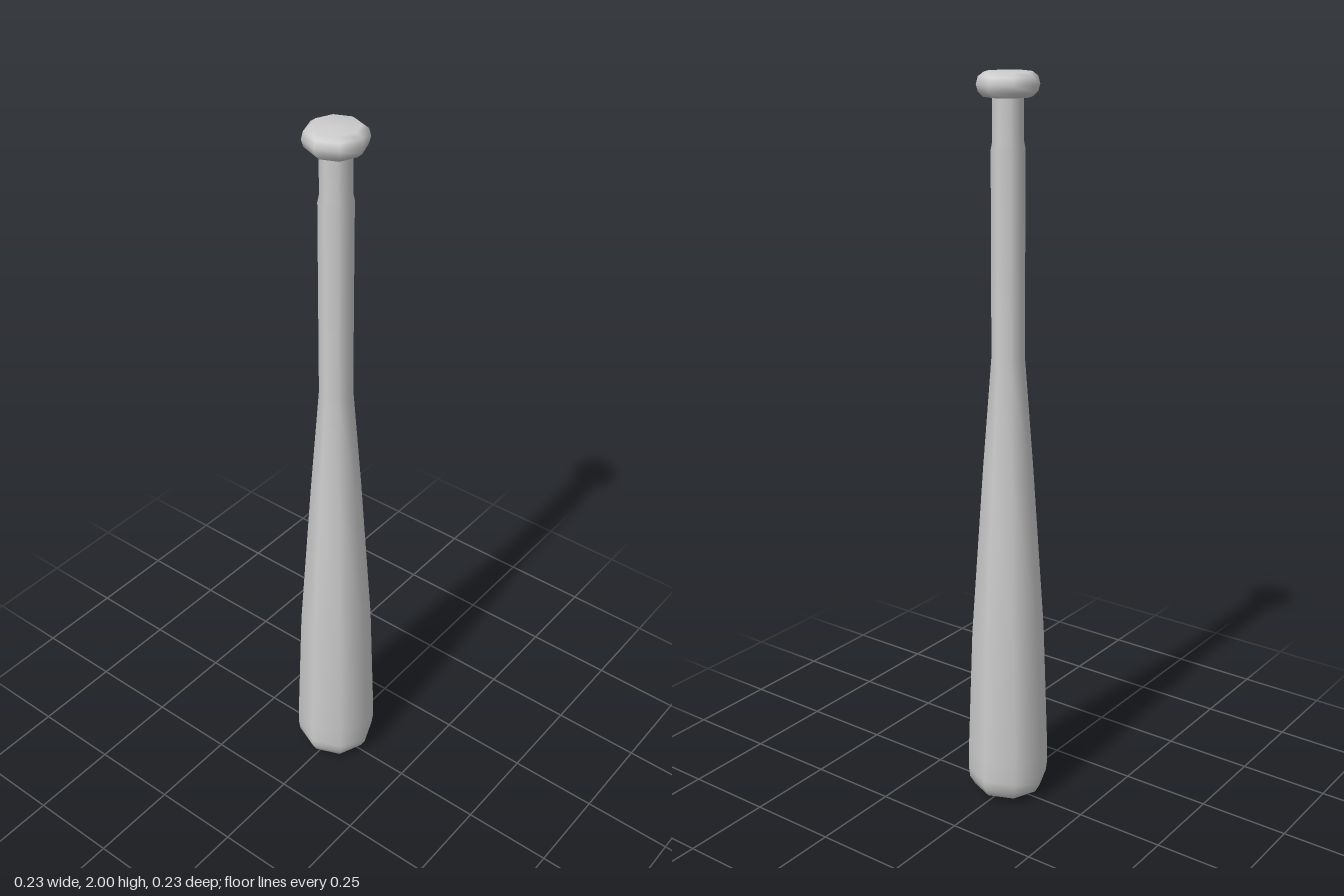
import * as THREE from 'three';

const SIDES = 8;

// Turns a [radius, height] profile, listed bottom to top, around the y axis.
function turned(name, profile, material) {
  const points = profile.map(([r, y]) => new THREE.Vector2(r, y));
  const mesh = new THREE.Mesh(new THREE.LatheGeometry(points, SIDES), material);
  mesh.name = name;
  return mesh;
}

export function createModel() {
  const group = new THREE.Group();
  group.name = 'bat';
  const material = new THREE.MeshStandardMaterial({ color: 0xcccccc });

  // Thick barrel with a rounded end, tapering into the slim handle
  group.add(turned('barrelAndHandle', [
    [0, 0], [0.065, 0.003], [0.095, 0.018], [0.11, 0.045], [0.113, 0.07], [0.113, 0.13],
    [0.1, 0.5], [0.068, 0.97], [0.044, 1.28], [0.044, 1.81], [0.04, 1.83], [0.04, 1.94],
  ], material));

  // Rounded knob at the end of the handle
  group.add(turned('knob', [
    [0.04, 1.938], [0.062, 1.938], [0.075, 1.95], [0.08, 1.968],
    [0.075, 1.987], [0.06, 1.998], [0, 2],
  ], material));

  return group;
}
